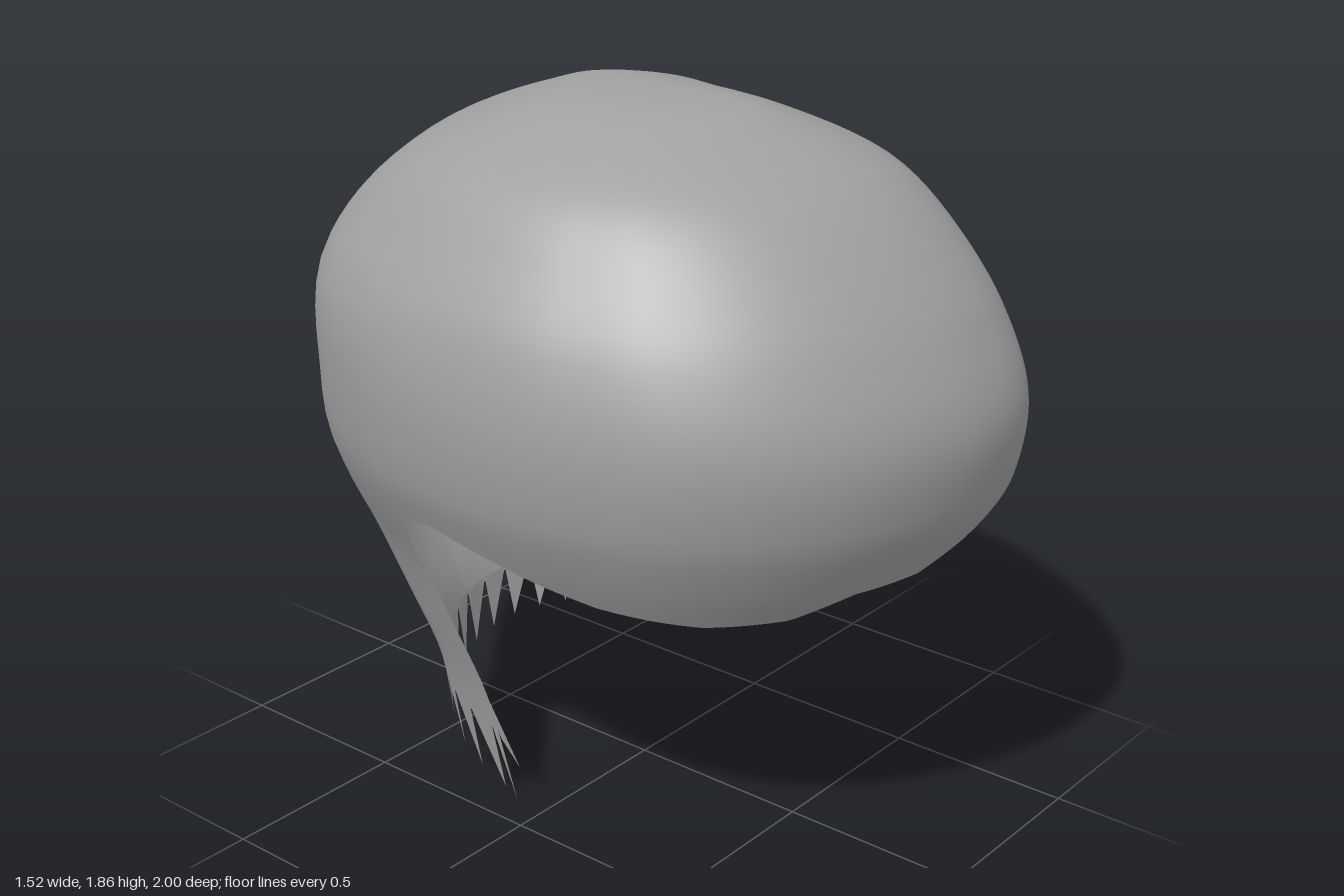
import * as THREE from 'three';

const TOP = 1.86;
const rad = Math.PI / 180;

// Half extents by height: y, right (-x), left (+x), front (+z), back (-z)
const levels = [
  [1.86, 0, 0, 0, 0], [1.85, 0.16, 0.11, 0.27, 0.18], [1.8, 0.335, 0.29, 0.435, 0.365],
  [1.7, 0.52, 0.505, 0.645, 0.62], [1.55, 0.64, 0.64, 0.81, 0.825], [1.4, 0.72, 0.71, 0.92, 0.925],
  [1.2, 0.76, 0.745, 1.0, 0.98], [1.0, 0.74, 0.76, 0.975, 1.0], [0.85, 0.68, 0.74, 0.9, 0.97],
  [0.7, 0.6, 0.69, 0.8, 0.92], [0.5, 0.53, 0.63, 0.7, 0.81], [0.3, 0.47, 0.58, 0.65, 0.695],
  [0, 0.415, 0.54, 0.62, 0.66],
].map(([y, ...v]) => [Math.sqrt(TOP - y), ...v]);

// Plan outline (x, z), counted from the front towards +x
const plan = [
  [0.05, 1], [0.25, 0.97], [0.42, 0.86], [0.56, 0.62], [0.605, 0.46], [0.665, 0.2], [0.72, 0],
  [0.76, -0.2], [0.735, -0.42], [0.655, -0.63], [0.575, -0.78], [0.43, -0.92], [0.33, -0.98],
  [0.22, -1], [0.02, -0.97], [-0.14, -0.91], [-0.3, -0.82], [-0.47, -0.7], [-0.6, -0.55],
  [-0.7, -0.34], [-0.76, 0], [-0.725, 0.35], [-0.63, 0.6], [-0.46, 0.8], [-0.2, 0.95],
].map(([x, z]) => [(Math.atan2(x, z) / rad + 360) % 360, Math.hypot(x, z)]);
const outline = [
  ...plan.slice(-3).map(([a, r]) => [a - 360, r]), ...plan,
  ...plan.slice(0, 3).map(([a, r]) => [a + 360, r]),
];

// Lower edge: angle from the front towards +x, height
const hem = [
  [0, 0.845], [5, 0.88], [15, 1.0], [21, 1.16], [27, 1.31], [33, 1.43], [38, 1.39], [40, 1.35],
  [42, 1.37], [44, 1.27], [47, 1.2], [54, 1.1], [65, 0.97], [78, 0.85], [84, 0.88], [90, 0.92],
  [93, 0.9], [94.5, 0.94], [97, 0.89], [99, 0.92], [103, 0.86], [109, 0.8], [111.3, 0.74],
  [112.5, 0.5], [113.5, 0.3], [180, 0.27], [225, 0.22], [246, 0.21], [247.2, 0.45], [248.5, 0.72],
  [251, 0.8], [256, 0.87], [262, 0.89], [280, 0.84], [300, 0.77], [320, 0.74], [335, 0.75],
  [345, 0.81], [357, 0.82], [360, 0.845],
];

function linear(table, t) {
  let i = 0;
  while (i < table.length - 2 && table[i + 1][0] < t) i++;
  const [a, b] = [table[i], table[i + 1]];
  return a[1] + ((b[1] - a[1]) * (t - a[0])) / (b[0] - a[0]);
}

// Smooth curve through the table's points
function smooth(table, t, col = 1) {
  let i = 0;
  while (i < table.length - 2 && table[i + 1][0] < t) i++;
  const slope = (k) => {
    const p = table[Math.max(k - 1, 0)], q = table[Math.min(k + 1, table.length - 1)];
    return (q[col] - p[col]) / (q[0] - p[0]);
  };
  const h = table[i + 1][0] - table[i][0], s = (t - table[i][0]) / h;
  const s2 = s * s, s3 = s2 * s;
  return (2 * s3 - 3 * s2 + 1) * table[i][col] + (s3 - 2 * s2 + s) * h * slope(i)
    + (3 * s2 - 2 * s3) * table[i + 1][col] + (s3 - s2) * h * slope(i + 1);
}

// Point on the hair surface at an angle and height
function surface(angle, y) {
  // the nape wraps further forward towards its lower edge
  const a = 180 + (angle - 180) * (1 + 0.28 * Math.max(0.73 - y, 0));
  const u = Math.sqrt(TOP - y);
  const bump = (centre, width) => Math.exp(-0.5 * ((a - centre) / width) ** 2);
  // the parting crease between the swept fringe and the side
  const crease = 0.14 * (1 - THREE.MathUtils.smoothstep(y, 1.42, 1.72)) * bump(37, 7.5);
  // the crown is fuller at both rear corners
  const full = THREE.MathUtils.smoothstep(y, 1.1, 1.45) * (0.05 * bump(225, 28) + 0.02 * bump(130, 25));
  const r = smooth(outline, a) * (1 - crease + full);
  const x = r * Math.sin(a * rad), z = r * Math.cos(a * rad);
  const sx = smooth(levels, u, x < 0 ? 1 : 2) / 0.76;
  const sz = smooth(levels, u, z > 0 ? 3 : 4);
  return [x * sx, y, z * sz];
}

function makeGeometry(positions, index) {
  const g = new THREE.BufferGeometry();
  g.setAttribute('position', new THREE.Float32BufferAttribute(positions, 3));
  g.setIndex(index);
  g.computeVertexNormals();
  return g;
}

// Open shell running from the crown down to the hem
function shellGeometry() {
  const crownRows = 24, sideRows = 22, rows = crownRows + sideRows, split = 1.46;
  const angles = [], pos = [], index = [];
  // columns are closer together at the steep front edges of the nape
  for (let a = 0; a < 360;) {
    angles.push(a);
    a += (a >= 109.5 && a < 114) || (a >= 246 && a < 250.5) ? 0.25 : 1.5;
  }
  for (const a of angles) {
    const end = linear(hem, a);
    for (let j = 0; j <= rows; j++) {
      const y = j <= crownRows
        ? TOP - (TOP - split) * (j / crownRows) ** 2
        : split + ((end - split) * (j - crownRows)) / sideRows;
      pos.push(...surface(a, y));
    }
  }
  for (let i = 0; i < angles.length; i++) {
    for (let j = 0; j < rows; j++) {
      const a = i * (rows + 1) + j, c = ((i + 1) % angles.length) * (rows + 1) + j;
      index.push(a, a + 1, c, c, a + 1, c + 1);
    }
  }
  return makeGeometry(pos, index);
}

// Pointed strand ends round the nape, growing towards the right side
function strandGeometry() {
  const pos = [], index = [];
  let a = 113.5;
  while (a < 245) {
    const k = (a - 113.5) / 132.5;
    const w = Math.min(4.6 + 7 * k * k, 246 - a);
    const tip = 0.17 - 0.17 * Math.pow(k, 1.5);
    const n = pos.length / 3;
    pos.push(
      ...surface(a, linear(hem, a) + 0.01),
      ...surface(a + w * 0.85, tip),
      ...surface(a + w, linear(hem, a + w) + 0.01),
    );
    index.push(n, n + 1, n + 2);
    a += w;
  }
  // loose strands at the front corners of the nape
  for (const [from, to, y, tip] of [[112.6, 107, 0.5, 0.36], [246.2, 251, 0.32, 0.12]]) {
    const n = pos.length / 3;
    pos.push(...surface(from, y), ...surface(to, tip), ...surface(from, y - 0.13));
    if (to < from) index.push(n, n + 1, n + 2);
    else index.push(n, n + 2, n + 1);
  }
  return makeGeometry(pos, index);
}

export function createModel() {
  const group = new THREE.Group();
  group.name = 'hairpiece';
  const hairGrey = new THREE.MeshStandardMaterial({ color: 0xa0a0a0, side: THREE.DoubleSide });
  hairGrey.name = 'hairGrey';
  const add = (name, geometry) => {
    const mesh = new THREE.Mesh(geometry, hairGrey);
    mesh.name = name;
    group.add(mesh);
  };
  add('hairShell', shellGeometry());
  add('napeStrands', strandGeometry());
  return group;
}
